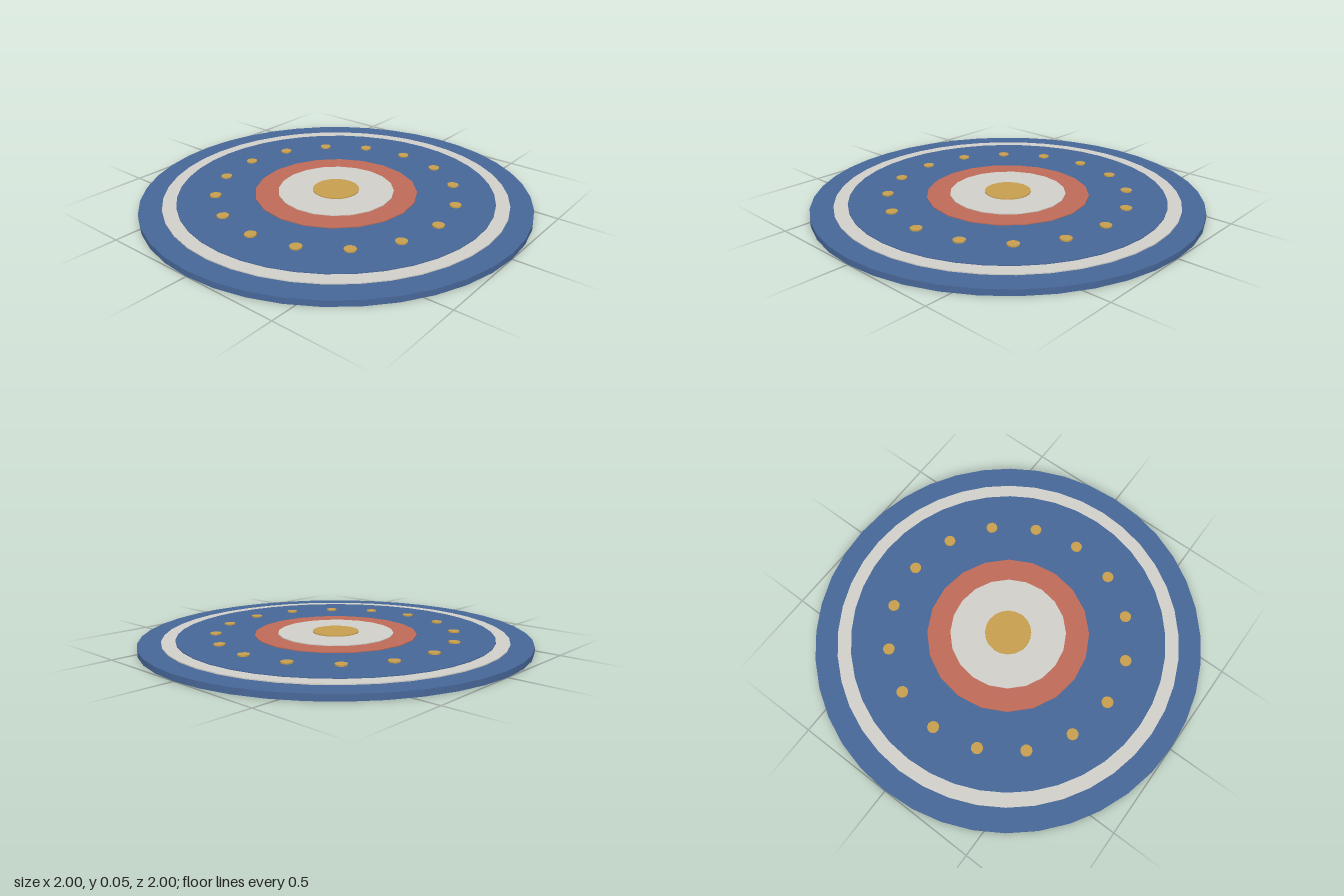
import * as THREE from 'three';

const material = (color) => new THREE.MeshStandardMaterial({ color });
const blue = material(0x48689a);
const cream = material(0xd4d2cb);
const red = material(0xc06b58);
const gold = material(0xc8a050);

// Upright disc from height y0 to y1
function disc(name, radius, y0, y1, sides, mat) {
  const mesh = new THREE.Mesh(new THREE.CylinderGeometry(radius, radius, y1 - y0, sides), mat);
  mesh.name = name;
  mesh.position.y = (y0 + y1) / 2;
  return mesh;
}

export function createModel() {
  const model = new THREE.Group();
  model.name = 'roundRug';

  // Stacked layers, each a little smaller and higher than the one below
  model.add(
    disc('base', 1, 0, 0.03, 40, blue),
    disc('creamBorder', 0.885, 0.02, 0.035, 40, cream),
    disc('field', 0.815, 0.02, 0.039, 40, blue),
    disc('redMedallion', 0.42, 0.03, 0.043, 20, red),
    disc('creamMedallion', 0.3, 0.03, 0.047, 20, cream),
    disc('goldCentre', 0.12, 0.03, 0.052, 20, gold),
  );

  // Ring of small gold dots
  const dots = new THREE.Group();
  dots.name = 'goldDots';
  const count = 16;
  for (let i = 0; i < count; i++) {
    const a = (i / count) * Math.PI * 2;
    const dot = disc('goldDot', 0.03, 0.03, 0.046, 12, gold);
    dot.position.x = 0.62 * Math.sin(a);
    dot.position.z = 0.62 * Math.cos(a);
    dots.add(dot);
  }
  model.add(dots);
  return model;
}
